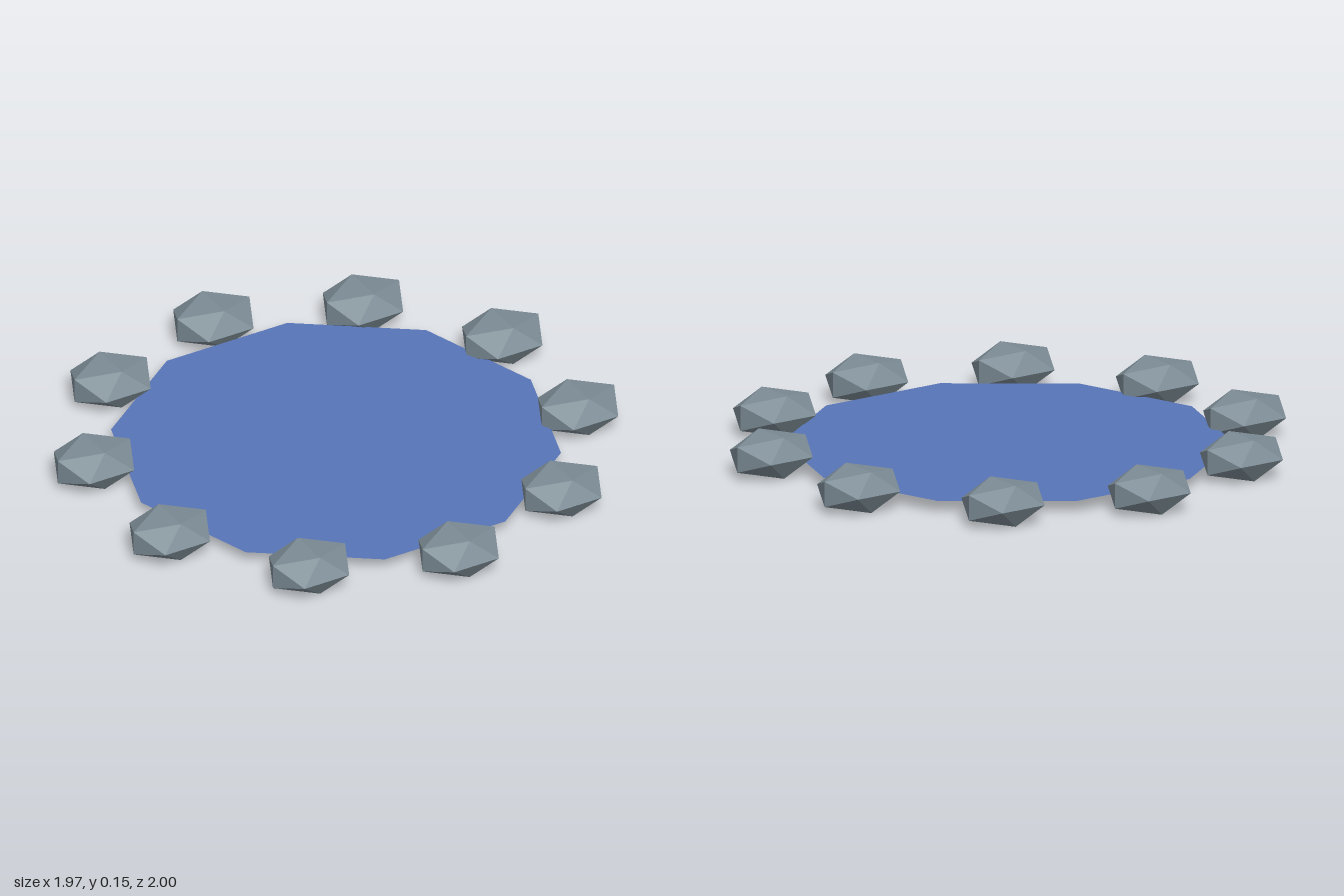
import * as THREE from 'three';

const STONES = 10;
const RING_RADIUS = 0.875;

export function createModel() {
  const group = new THREE.Group();
  group.name = 'pond';

  const water = new THREE.MeshStandardMaterial({ color: 0x5874b8, flatShading: true, side: THREE.DoubleSide });
  water.name = 'water blue';
  const rock = new THREE.MeshStandardMaterial({ color: 0x7b8b94, flatShading: true });
  rock.name = 'stone grey';

  // Flat ten-sided water sheet
  const surfaceGeometry = new THREE.CircleGeometry(0.8, 10);
  surfaceGeometry.rotateX(-Math.PI / 2);
  const surface = new THREE.Mesh(surfaceGeometry, water);
  surface.name = 'waterSurface';
  surface.position.y = 0.045;
  group.add(surface);

  // Squashed icosahedron stone, all stones facing the same way
  const stoneGeometry = new THREE.IcosahedronGeometry(1, 0);
  stoneGeometry.rotateY(Math.PI / 2);
  stoneGeometry.computeBoundingBox();
  const half = stoneGeometry.boundingBox.max.clone();
  stoneGeometry.scale(0.148 / half.x, 0.075 / half.y, 0.125 / half.z);
  stoneGeometry.computeVertexNormals();

  // Ring of stones around the water, turned very slightly
  for (let i = 0; i < STONES; i++) {
    const angle = (i / STONES) * Math.PI * 2 + 0.0125;
    const stone = new THREE.Mesh(stoneGeometry, rock);
    stone.name = `rimStone${i + 1}`;
    stone.position.set(Math.sin(angle) * RING_RADIUS, 0.075, -Math.cos(angle) * RING_RADIUS);
    group.add(stone);
  }
  return group;
}
